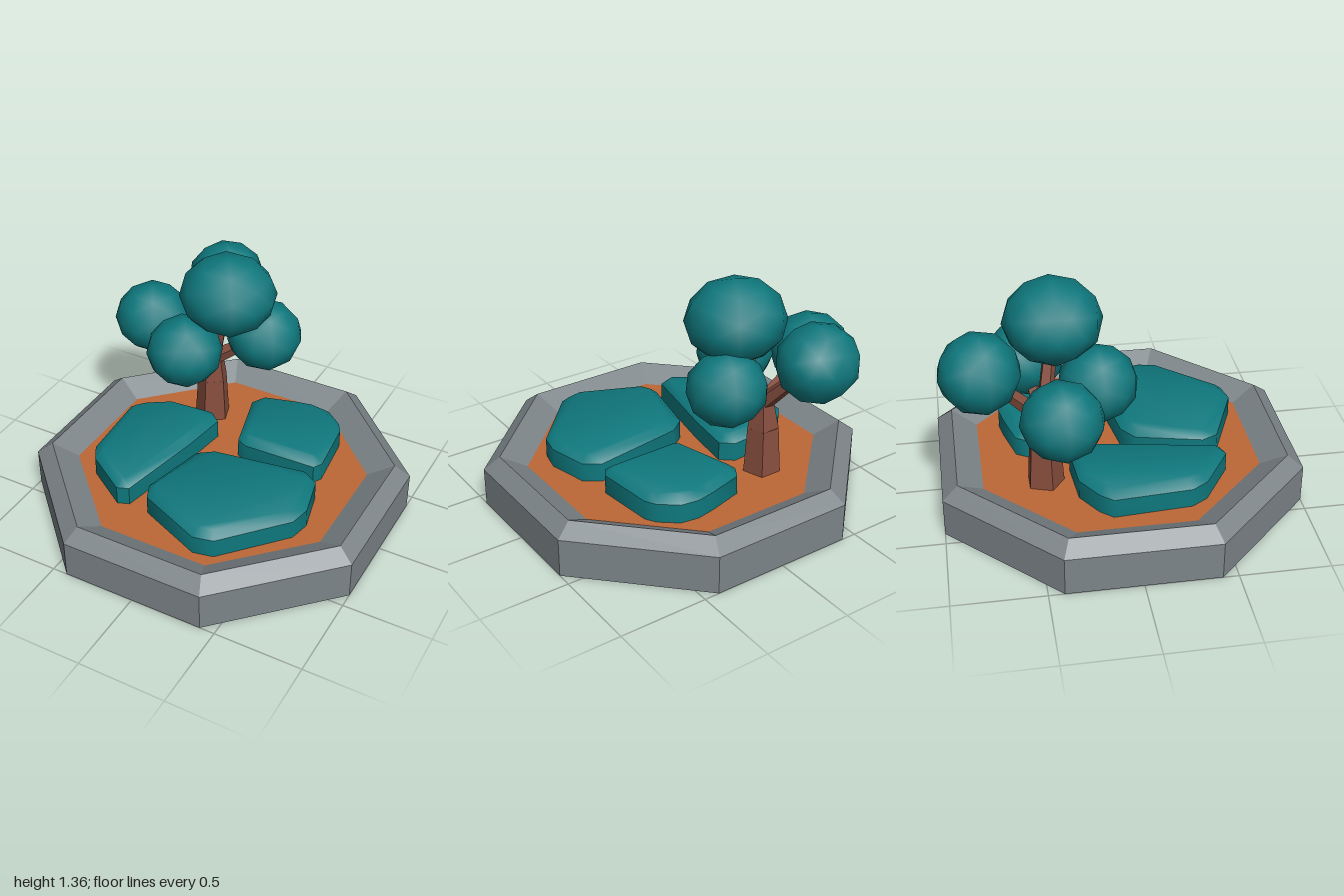
import * as THREE from 'three';
import { toCreasedNormals } from 'three/addons/utils/BufferGeometryUtils.js';

const material = (name, color) => {
  const m = new THREE.MeshStandardMaterial({ color });
  m.name = name;
  return m;
};

export function createModel() {
  const model = new THREE.Group();
  model.name = 'treePlanter';
  const stone = material('stone grey', 0x7d8589);
  const soil = material('soil orange', 0xbd6837);
  const leaf = material('leaf teal', 0x0f797e);
  const bark = material('bark brown', 0x874e3e);

  const add = (name, geometry, mat, parent = model) => {
    const mesh = new THREE.Mesh(geometry, mat);
    mesh.name = name;
    parent.add(mesh);
    return mesh;
  };

  // Octagonal stone basin: underside, wall, bevel, inner slope (apothem, height)
  const toCorner = 1 / Math.cos(Math.PI / 8);
  const profile = [[0, 0], [1, 0], [1, 0.22], [0.915, 0.29], [0.775, 0.21]]
    .map(([a, y]) => new THREE.Vector2(a * toCorner, y));
  const basin = new THREE.LatheGeometry(profile, 8, Math.PI / 8);
  add('basin', toCreasedNormals(basin, 0.3), stone);

  // Soil floor
  const floor = new THREE.CircleGeometry(0.775 * toCorner, 8, Math.PI / 8);
  floor.rotateX(-Math.PI / 2);
  add('soil', floor, soil).position.y = 0.21;

  // Clipped hedges with bevelled tops, outlines in x and z
  const hedges = {
    frontHedge: [[-0.02, 0.03], [0.51, -0.05], [0.6, 0.01], [0.655, 0.24], [0.63, 0.36],
      [0.33, 0.695], [0.215, 0.72], [-0.16, 0.56], [-0.2, 0.47], [-0.115, 0.1]],
    rightHedge: [[-0.68, -0.11], [-0.62, -0.18], [-0.48, -0.27], [-0.22, -0.29], [-0.15, -0.23],
      [-0.185, 0.03], [-0.285, 0.545], [-0.35, 0.57], [-0.595, 0.41], [-0.65, 0.32]],
    backHedge: [[0.04, -0.13], [-0.06, -0.5], [-0.02, -0.57], [0.18, -0.625], [0.285, -0.645],
      [0.39, -0.63], [0.49, -0.55], [0.525, -0.49], [0.56, -0.16], [0.53, -0.11], [0.1, -0.1]],
  };
  for (const [name, outline] of Object.entries(hedges)) {
    const shape = new THREE.Shape(outline.map(([x, z]) => new THREE.Vector2(x, z)));
    const geometry = new THREE.ExtrudeGeometry(shape, {
      depth: 0.15, bevelThickness: 0.04, bevelSize: 0.045, bevelOffset: -0.045, bevelSegments: 1,
    });
    geometry.rotateX(Math.PI / 2).translate(0, 0.32, 0);
    add(name, toCreasedNormals(geometry, 0.8), leaf);
  }

  const tree = new THREE.Group();
  tree.name = 'tree';
  model.add(tree);

  // Tapered limb between two points
  const limb = (name, from, to, r0, r1, sides) => {
    const a = new THREE.Vector3(...from), b = new THREE.Vector3(...to);
    const geometry = new THREE.CylinderGeometry(r1, r0, a.distanceTo(b), sides);
    const mesh = add(name, toCreasedNormals(geometry, 0.5), bark, tree);
    mesh.position.lerpVectors(a, b, 0.5);
    mesh.quaternion.setFromUnitVectors(new THREE.Vector3(0, 1, 0), b.sub(a).normalize());
  };
  limb('trunkBase', [-0.295, 0.2, -0.435], [-0.295, 0.48, -0.435], 0.108, 0.09, 5);
  limb('trunkTop', [-0.295, 0.48, -0.435], [-0.29, 0.68, -0.43], 0.09, 0.055, 5);

  // Leaf clumps, each on its own branch: centre and radii
  const clumps = [
    ['topLeaves', [-0.15, 1.13, -0.355], [0.28, 0.23, 0.27]],
    ['rightLeaves', [-0.66, 0.83, -0.37], [0.225, 0.207, 0.22]],
    ['frontLeaves', [-0.315, 0.825, -0.14], [0.22, 0.207, 0.215]],
    ['leftLeaves', [0.01, 0.83, -0.5], [0.22, 0.205, 0.22]],
    ['backLeaves', [-0.375, 0.978, -0.76], [0.23, 0.215, 0.22]],
  ];
  clumps.forEach(([name, centre, radii], i) => {
    limb(name.replace('Leaves', 'Branch'), [-0.29, 0.62, -0.43], centre, 0.05, 0.03, 5);
    const ball = add(name, new THREE.IcosahedronGeometry(1, 1), leaf, tree);
    ball.position.set(...centre);
    ball.scale.set(...radii);
    ball.geometry.rotateY(i * 1.1);
  });

  return model;
}
